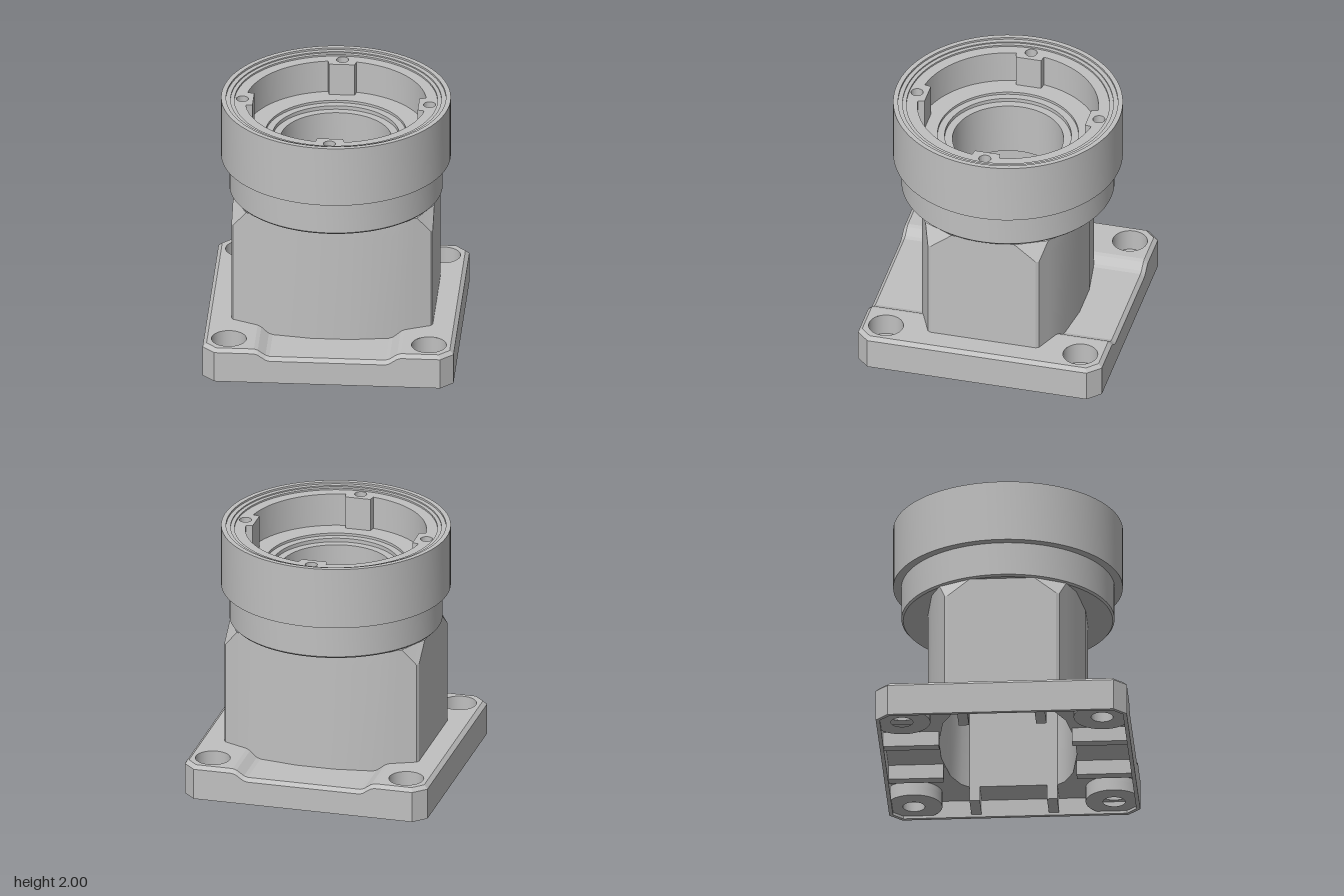
import * as THREE from 'three';
import { toCreasedNormals } from 'three/addons/utils/BufferGeometryUtils.js';

const metal = new THREE.MeshStandardMaterial({ color: 0xc0c0c0 });
metal.name = 'grey metal';

const BOLT = 0.775;      // bolt centre offset
const RECESS = 0.022;    // ribs and bosses stop short of the rim
const CEILING = 0.14;    // underside of the flange plate
const BOLT_SEAT = 0.1;   // floor of the counterbores
const COLLAR_Y = 1.225;  // where the column meets the collar

// Mirrors a quarter outline [x, z] (front to side) into a full loop
function loop(q) {
  const r = [...q].reverse();
  return [...q, ...r.map(([x, z]) => [x, -z]), ...q.map(([x, z]) => [-x, -z]), ...r.map(([x, z]) => [-x, z])];
}

// Walls between stacked loops of [x, y, z]; bottom to top faces outward
function loft(rings) {
  const pos = [];
  for (let i = 0; i < rings.length - 1; i++) {
    const lo = rings[i], hi = rings[i + 1], n = lo.length;
    for (let j = 0; j < n; j++) {
      const k = (j + 1) % n;
      pos.push(...lo[j], ...lo[k], ...hi[k], ...lo[j], ...hi[k], ...hi[j]);
    }
  }
  const g = new THREE.BufferGeometry();
  g.setAttribute('position', new THREE.Float32BufferAttribute(pos, 3));
  g.computeVertexNormals();
  return g;
}
const atY = (pts, y) => pts.map(([x, z]) => [x, y, z]);

function circle(x, z, r) {
  return new THREE.Path().absarc(x, -z, r, 0, Math.PI * 2, true);
}
const vectors = (pts) => pts.map(([x, z]) => new THREE.Vector2(x, -z));
function outline(pts, holes = []) {
  const s = new THREE.Shape(vectors(pts));
  s.holes.push(...holes);
  return s;
}
const pathOf = (pts) => new THREE.Path(vectors(pts));

// Flat sheets facing up or down
function sheetUp(shape, y) {
  return new THREE.ShapeGeometry(shape, 24).rotateX(-Math.PI / 2).translate(0, y, 0);
}
function sheetDown(shape, y) {
  return new THREE.ShapeGeometry(shape, 24).rotateX(Math.PI / 2).translate(0, y, 0);
}
function extrudeUp(shape, y0, y1) {
  const g = new THREE.ExtrudeGeometry(shape, { depth: y1 - y0, bevelEnabled: false, curveSegments: 28 });
  return toCreasedNormals(g.rotateX(-Math.PI / 2).translate(0, y0, 0), 0.5);
}

// Height of the flange top: a shallow channel runs front to back
function flangeTop(x) {
  return 0.215 + 0.06 * THREE.MathUtils.smoothstep(Math.abs(x), 0.45, 0.57);
}

// Round boss outline, flattened where it runs into the rim of its corner
function bossOutline(s, t) {
  const pts = [];
  for (let i = 0; i < 48; i++) {
    const a = (i / 48) * Math.PI * 2;
    let x = Math.min(BOLT + 0.22 * Math.cos(a), 0.95);
    let z = Math.min(BOLT + 0.22 * Math.sin(a), 0.95);
    const over = Math.max(0, x + z - 1.815) / 2;
    x -= over;
    z -= over;
    pts.push([x * s, z * t]);
  }
  return pts;
}

export function createModel() {
  const model = new THREE.Group();
  model.name = 'flangedHousing';
  const add = (parent, name, geometry) => {
    const m = new THREE.Mesh(geometry, metal);
    m.name = name;
    parent.add(m);
    return m;
  };
  const group = (name) => {
    const g = new THREE.Group();
    g.name = name;
    model.add(g);
    return g;
  };
  const corners = [[1, 1], [1, -1], [-1, -1], [-1, 1]];
  const inner = loop([[0.15, 0.525], [0.48, 0.475], [0.64, 0.40], [0.69, 0.34]]);
  const innerTop = loop([[0.15, 0.525], [0.48, 0.475], [0.62, 0.41], [0.69, 0.29]]);

  // Flange: outer wall with bevelled top edge
  const flange = group('flange');
  const steps = [0.45, 0.48, 0.51, 0.54, 0.57];
  const edge = loop([...steps.map((x) => [x, 0.972]), [0.875, 0.972], [0.972, 0.875]]);
  const inset = loop([...steps.map((x) => [x, 0.942]), [0.862, 0.942], [0.942, 0.862]]);
  add(flange, 'flangeWall', loft([
    atY(edge, 0),
    edge.map(([x, z]) => [x, flangeTop(x) - 0.028, z]),
    inset.map(([x, z]) => [x, flangeTop(x), z]),
  ]));

  // Flange top: channel floors, ramps and raised sides
  for (const s of [1, -1]) {
    add(flange, 'channelFloor', sheetUp(outline([[-0.45, 0.942 * s], [0.45, 0.942 * s], [0.45, 0.54 * s], [-0.45, 0.54 * s]]), 0.215));
    for (const t of [1, -1]) {
      for (let i = 0; i < steps.length - 1; i++) {
        const a = steps[i] * t, b = steps[i + 1] * t;
        const g = sheetUp(outline([[a, 0.942 * s], [b, 0.942 * s], [b, 0.5 * s], [a, 0.52 * s]]), 0);
        const p = g.attributes.position;
        for (let v = 0; v < p.count; v++) p.setY(v, flangeTop(p.getX(v)));
        g.computeVertexNormals();
        add(flange, 'channelRamp', g);
      }
    }
    const side = [[0.57, 0.942], [0.862, 0.942], [0.942, 0.862], [0.942, -0.862], [0.862, -0.942], [0.57, -0.942],
      [0.57, -0.5], [0.74, -0.42], [0.74, 0.42], [0.57, 0.5]].map(([x, z]) => [x * s, z]);
    add(flange, 'raisedSide', sheetUp(outline(side, [1, -1].map((t) => circle(BOLT * s, BOLT * t, 0.135))), 0.275));
  }

  // Flange underside: rim, pocket wall and pocket ceiling
  const rimIn = loop([[0.865, 0.942], [0.942, 0.865]]);
  const rimOut = loop([[0.875, 0.972], [0.972, 0.875]]);
  add(flange, 'rimBottom', sheetDown(outline(rimOut, [pathOf(rimIn)]), 0));
  add(flange, 'pocketWall', loft([atY(rimIn, CEILING), atY(rimIn, 0)]));
  add(flange, 'pocketCeiling', sheetDown(outline(rimIn,
    [pathOf(inner), ...corners.map(([s, t]) => circle(BOLT * s, BOLT * t, 0.14))]), CEILING));

  // Corner bosses with bolt holes and deep counterbores
  for (const [s, t] of corners) {
    const pts = bossOutline(s, t);
    add(flange, 'boltSeat', extrudeUp(outline(pts, [circle(BOLT * s, BOLT * t, 0.085)]), RECESS, BOLT_SEAT));
    add(flange, 'boltBoss', extrudeUp(outline(pts, [circle(BOLT * s, BOLT * t, 0.136)]), BOLT_SEAT, 0.16));
    const bore = new THREE.LatheGeometry([new THREE.Vector2(0.135, 0.275), new THREE.Vector2(0.135, BOLT_SEAT)], 40);
    add(flange, 'counterbore', bore).position.set(BOLT * s, 0, BOLT * t);
  }

  // Stiffening ribs in the pocket
  const ribHeight = CEILING + 0.005 - RECESS;
  const ribY = RECESS + ribHeight / 2;
  for (const s of [1, -1]) {
    for (const t of [1, -1]) {
      add(flange, 'rib', new THREE.BoxGeometry(0.08, ribHeight, 0.43)).position.set(0.3 * s, ribY, 0.73 * t);
      add(flange, 'rib', new THREE.BoxGeometry(0.255, ribHeight, 0.08)).position.set(0.8175 * s, ribY, 0.3 * t);
    }
  }

  // Column: gently bowed front and back, top corners cut off
  const column = group('column');
  const bow = [[0.15, 0.61], [0.5, 0.56]];
  const cutFront = [0.66, 0.49], cutSide = [0.78, 0.25];
  const body = loop([...bow, cutFront, [0.766, 0.444], [0.78, 0.42], cutSide]);
  const bodyTop = loop([...bow, cutFront, cutFront, cutSide, cutSide]);
  add(column, 'columnWall', toCreasedNormals(loft([atY(body, 0.2), atY(body, 1.09), atY(bodyTop, COLLAR_Y)]), 0.45));
  add(column, 'columnInside', toCreasedNormals(loft([atY(innerTop, COLLAR_Y), atY(inner, 1.09), atY(inner, CEILING)]), 0.45));

  // Collar: stepped round head with a bore
  const collar = group('collar');
  const profile = [
    [0.43, COLLAR_Y], [0.81, COLLAR_Y], [0.824, 1.24], [0.824, 1.508], [0.888, 1.508], [0.888, 2],
    [0.85, 2], [0.85, 1.985], [0.815, 1.985], [0.815, 1.975], [0.785, 1.975], [0.785, 1.7],
    [0.545, 1.7], [0.545, 1.68], [0.49, 1.68], [0.49, 1.65], [0.43, 1.65], [0.43, COLLAR_Y],
  ].map(([r, y]) => new THREE.Vector2(r, y));
  add(collar, 'collarBody', toCreasedNormals(new THREE.LatheGeometry(profile, 96), 0.5));

  // Liner ring with four inward tabs, each with a pin hole
  const liner = new THREE.Shape().absarc(0, 0, 0.786, 0, Math.PI * 2, false);
  const cut = new THREE.Path();
  const half = Math.asin(0.11 / 0.7);
  for (let k = 0; k < 4; k++) {
    const a = k * Math.PI / 2, c = Math.cos(a), s = Math.sin(a);
    for (const w of [-0.1, 0.1]) {
      const x = 0.64 * c - w * s, y = 0.64 * s + w * c;
      if (k === 0 && w < 0) cut.moveTo(x, y);
      else cut.lineTo(x, y);
    }
    cut.absarc(0, 0, 0.7, a + half, a + Math.PI / 2 - half, false);
  }
  cut.closePath();
  liner.holes.push(cut);
  for (const [x, z] of [[1, 0], [0, 1], [-1, 0], [0, -1]]) liner.holes.push(circle(0.725 * x, 0.725 * z, 0.047));
  add(collar, 'tabbedLiner', extrudeUp(liner, 1.695, 1.962));

  return model;
}
